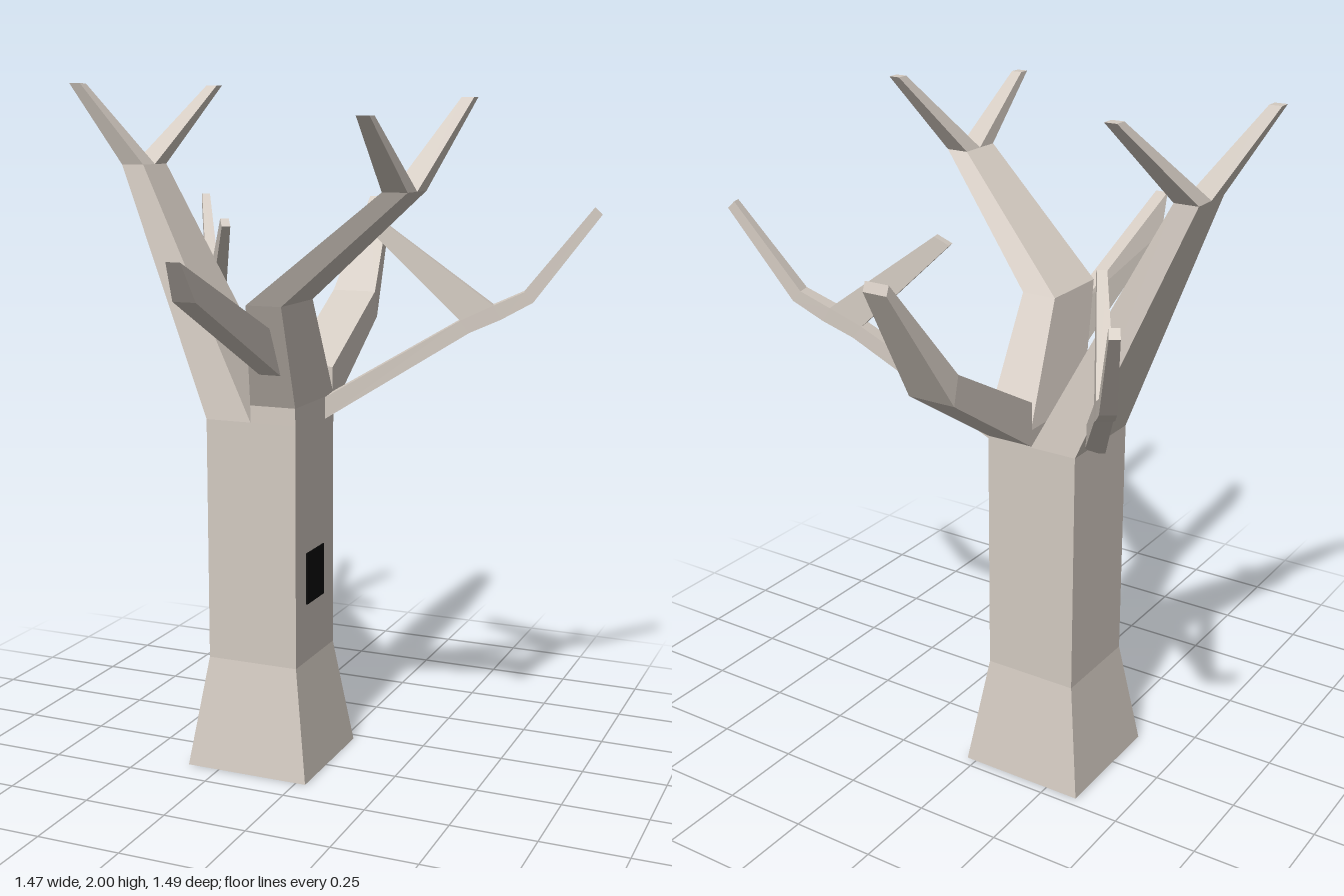
import * as THREE from 'three';

// Flat-shaded four-sided loft through rings of four corners, capped at both ends
function loft(rings) {
  const tris = [];
  const quad = (a, b, c, d) => tris.push([a, b, c], [a, c, d]);
  for (let i = 0; i < rings.length - 1; i++) {
    for (let k = 0; k < 4; k++) {
      const n = (k + 1) % 4;
      quad(rings[i][k], rings[i][n], rings[i + 1][n], rings[i + 1][k]);
    }
  }
  const last = rings[rings.length - 1];
  quad(rings[0][3], rings[0][2], rings[0][1], rings[0][0]);
  quad(last[0], last[1], last[2], last[3]);
  // Signed volume tells whether the corners run inside out
  const v = (p) => new THREE.Vector3(...p);
  const volume = tris.reduce((s, [a, b, c]) => s + v(a).dot(v(b).cross(v(c))), 0);
  const pos = tris.flatMap(([a, b, c]) => (volume < 0 ? [a, c, b] : [a, b, c])).flat();
  const geo = new THREE.BufferGeometry();
  geo.setAttribute('position', new THREE.Float32BufferAttribute(pos, 3));
  geo.computeVertexNormals();
  return geo;
}

// Level ring: rectangle in x and z at height y
const level = (y, x0, x1, z0, z1) => [[x0, y, z0], [x1, y, z0], [x1, y, z1], [x0, y, z1]];

// Upright ring: bottom (r, y) and top (r, y) points spread sideways by half width w
const upright = (rb, yb, rt, yt, w) => [[rb, yb, -w], [rb, yb, w], [rt, yt, w], [rt, yt, -w]];

export function createModel() {
  const tree = new THREE.Group();
  tree.name = 'bareTree';
  const bark = new THREE.MeshStandardMaterial({ color: 0xd3cac1 });
  bark.name = 'paleBark';
  const black = new THREE.MeshStandardMaterial({ color: 0x0a0a0a });
  black.name = 'hollowBlack';

  const add = (name, rings, parent = tree) => {
    const mesh = new THREE.Mesh(loft(rings), bark);
    mesh.name = name;
    parent.add(mesh);
  };

  // Flared trunk
  add('trunk', [
    level(0, -0.35, 0.03, -0.22, 0.16),
    level(0.33, -0.3, -0.02, -0.17, 0.11),
    level(1.05, -0.3, -0.02, -0.17, 0.11),
  ]);

  // Tall right limb with two twigs
  add('rightLimb', [
    level(1.05, -0.3, -0.16, -0.17, 0.11),
    level(1.77, -0.6, -0.53, -0.1, 0.04),
  ]);
  add('rightLimbFrontTwig', [
    level(1.77, -0.6, -0.53, -0.03, 0.04),
    level(2, -0.725, -0.69, 0.08, 0.113),
  ]);
  add('rightLimbBackTwig', [
    level(1.77, -0.6, -0.53, -0.1, -0.03),
    level(2, -0.49, -0.455, -0.325, -0.29),
  ]);

  // Bent front limb with two twigs
  add('frontLimb', [
    level(1.05, -0.16, -0.02, -0.17, 0.11),
    level(1.1, -0.16, -0.02, -0.17, 0.11),
    level(1.405, -0.095, 0.01, 0.055, 0.27),
    level(1.72, 0.352, 0.42, 0.28, 0.42),
  ]);
  add('frontLimbBackTwig', [
    level(1.72, 0.352, 0.42, 0.28, 0.35),
    level(1.953, 0.463, 0.497, 0.105, 0.14),
  ]);
  add('frontLimbFrontTwig', [
    level(1.72, 0.352, 0.42, 0.35, 0.42),
    level(1.905, 0.368, 0.402, 0.603, 0.637),
  ]);

  // Straight spur at the front
  const spurRing = (yb, zb, yt, zt) => [
    [-0.105, yb, zb], [-0.04, yb, zb], [-0.04, yt, zt], [-0.08, yt, zt],
  ];
  add('frontSpur', [spurRing(1.2, 0.165, 1.34, 0.235), spurRing(1.455, 0.665, 1.56, 0.743)]);

  // Bent back limb
  const backRing = (x0, x1, yb, zb, yt, zt) => [
    [x0, yb, zb], [x1, yb, zb], [x1, yt, zt], [x0, yt, zt],
  ];
  add('backLimb', [
    backRing(-0.16, -0.02, 1.05, -0.165, 1.18, -0.165),
    backRing(-0.16, -0.02, 1.29, -0.53, 1.37, -0.51),
    backRing(-0.125, -0.055, 1.63, -0.745, 1.655, -0.735),
  ]);

  // Two identical slender forked branches, turned to different directions
  const branch = (name, x, z, angle) => {
    const g = new THREE.Group();
    g.name = name;
    g.position.set(x, 0, z);
    g.rotation.y = angle;
    add(name + 'Main', [
      upright(-0.03, 1.02, -0.03, 1.085, 0.03),
      upright(0.41, 1.295, 0.383, 1.33, 0.023),
      upright(0.5, 1.335, 0.477, 1.375, 0.023),
      upright(0.59, 1.385, 0.565, 1.415, 0.021),
      upright(0.777, 1.635, 0.757, 1.655, 0.013),
    ], g);
    add(name + 'Twig', [
      upright(0.383, 1.33, 0.477, 1.375, 0.023),
      upright(0.122, 1.583, 0.165, 1.605, 0.013),
    ], g);
    tree.add(g);
  };
  branch('leftBranch', -0.02, -0.137, Math.atan2(0.2, 0.75));
  branch('backRightBranch', -0.308, -0.075, Math.atan2(0.65, -0.412));

  // Square dark hollow in the trunk's left side
  const hollow = new THREE.Mesh(new THREE.BoxGeometry(0.006, 0.155, 0.125), black);
  hollow.name = 'hollow';
  hollow.position.set(-0.019, 0.582, -0.028);
  tree.add(hollow);

  return tree;
}
